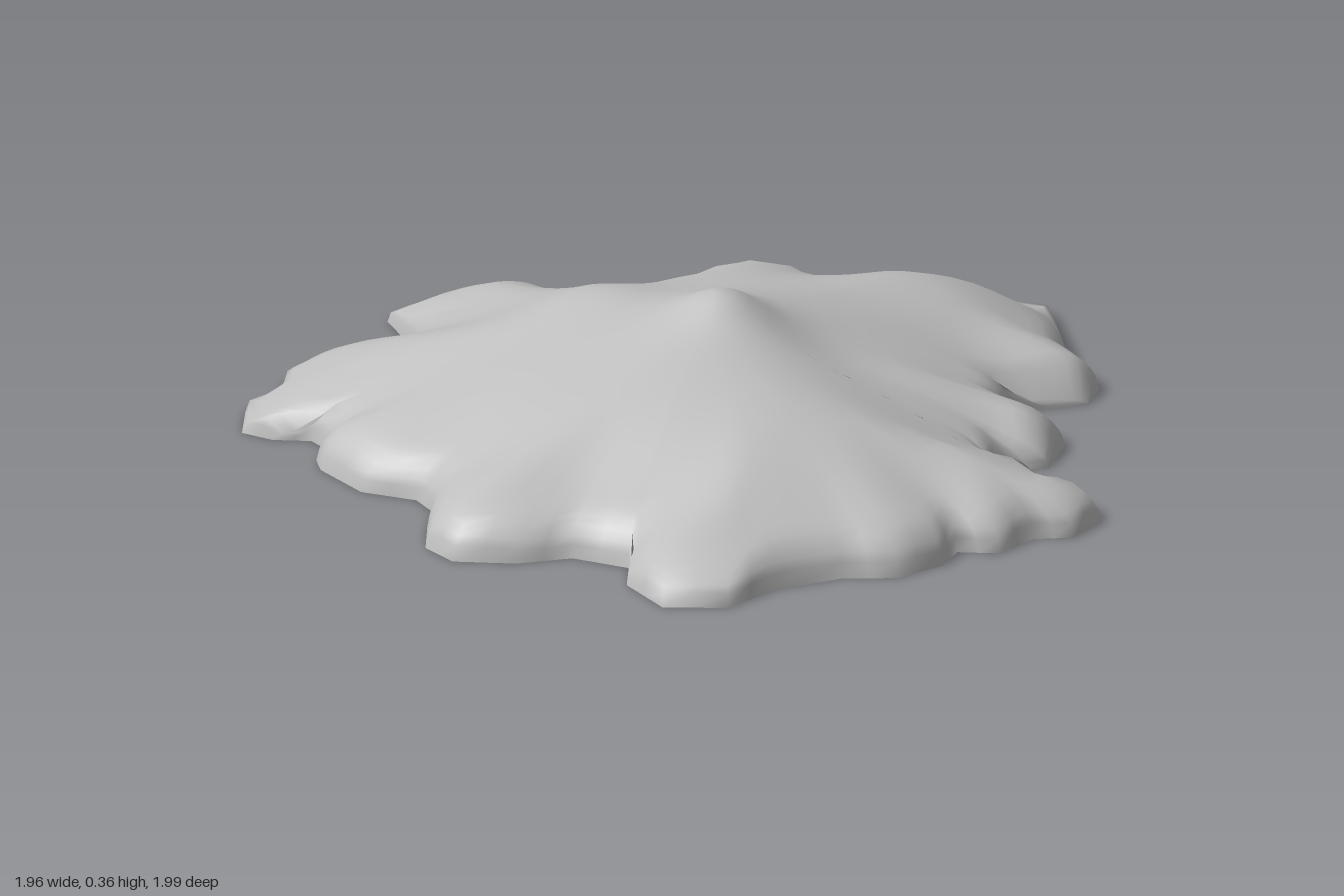
import * as THREE from 'three';

// Ragged footprint, as x, z pairs running clockwise seen from above
const OUTLINE = [
  -0.44, -0.96, -0.33, -1.0, -0.22, -0.95, -0.12, -0.92, -0.05, -0.8, 0.03, -0.79, 0.19, -0.82, 0.32, -0.89,
  0.49, -0.83, 0.52, -0.72, 0.57, -0.63, 0.7, -0.6, 0.75, -0.55, 0.89, -0.57, 0.98, -0.5, 0.93, -0.25,
  0.9, -0.15, 0.93, -0.03, 0.88, 0.05, 0.7, 0.045, 0.66, 0.12, 0.74, 0.28, 0.66, 0.4, 0.56, 0.38,
  0.52, 0.46, 0.59, 0.54, 0.58, 0.61, 0.65, 0.67, 0.66, 0.76, 0.57, 0.83, 0.48, 0.81, 0.38, 0.87,
  0.29, 0.83, 0.23, 0.9, 0.11, 0.94, -0.01, 0.9, -0.18, 0.92, -0.31, 0.99, -0.45, 0.94, -0.48, 0.78,
  -0.44, 0.68, -0.54, 0.58, -0.67, 0.57, -0.8, 0.51, -0.83, 0.41, -0.78, 0.28, -0.74, 0.2, -0.75, 0.12,
  -0.85, 0.03, -0.89, -0.13, -0.88, -0.19, -0.83, -0.23, -0.85, -0.31, -0.93, -0.345, -0.98, -0.41, -0.93, -0.53,
  -0.83, -0.57, -0.79, -0.67, -0.69, -0.69, -0.52, -0.68, -0.44, -0.78,
];
const CORNERS = OUTLINE.length / 2;
const RINGS = [0.05, 0.1, 0.16, 0.24, 0.33, 0.42, 0.51, 0.6, 0.68, 0.75, 0.81, 0.86, 0.9, 0.935, 0.96, 0.98, 0.992, 1];

// Local humps added to the dome: x, z, height, radius
const HUMPS = [
  [0.03, 0, 0.065, 0.11], [-0.2, -0.27, 0.03, 0.14], [0.62, -0.35, 0.035, 0.2],
  [-0.25, 0.35, 0.015, 0.18], [0.28, 0.12, -0.02, 0.15], [-0.3, 0.08, -0.015, 0.14],
];

// Corner i of the footprint, wrapping round
function corner(i) {
  const k = 2 * (i % CORNERS);
  return [OUTLINE[k], OUTLINE[k + 1]];
}

// Softened distance from x, z to the rim
function rimDistance(x, z) {
  let sum = 0;
  for (let i = 0; i < CORNERS; i++) {
    const [ax, az] = corner(i), [bx, bz] = corner(i + 1);
    const ex = bx - ax, ez = bz - az;
    const u = THREE.MathUtils.clamp(((x - ax) * ex + (z - az) * ez) / (ex * ex + ez * ez), 0, 1);
    sum += Math.pow(Math.hypot(x - ax - u * ex, z - az - u * ez), -12);
  }
  return Math.pow(sum, -1 / 12);
}

// A rounded lip, then a slope up from the rim, capped by a broad dome with humps
function heightAt(x, z) {
  const d = rimDistance(x, z);
  const inset = Math.min(1, d / 0.07);
  const slope = 0.07 * Math.sqrt(1 - (1 - inset) ** 2) + 0.5 * d;
  if (slope < 1e-6) return 0;
  const dome = Math.max(0.03, 0.315 * (1 - Math.pow(Math.hypot(x, z) / 1.08, 2.3)));
  let h = Math.pow(Math.pow(slope, -8) + Math.pow(dome, -8), -1 / 8);
  for (const [hx, hz, rise, radius] of HUMPS) {
    h += inset * rise * Math.exp(-((x - hx) ** 2 + (z - hz) ** 2) / radius ** 2);
  }
  return h;
}

function moundGeometry() {
  // Rim points: each corner and the middle of each edge
  const rim = [];
  for (let i = 0; i < CORNERS; i++) {
    const [ax, az] = corner(i), [bx, bz] = corner(i + 1);
    rim.push([ax, az], [(ax + bx) / 2, (az + bz) / 2]);
  }
  const n = rim.length;
  const positions = [0, heightAt(0, 0), 0];
  const indices = [];
  // Rings soften toward a circle as they near the summit
  for (const t of RINGS) {
    for (const [rx, rz] of rim) {
      const reach = Math.hypot(rx, rz);
      const s = t * THREE.MathUtils.lerp(0.82, reach, t) / reach;
      positions.push(rx * s, t === 1 ? 0 : heightAt(rx * s, rz * s), rz * s);
    }
  }
  for (let j = 0; j < n; j++) {
    const next = (j + 1) % n;
    indices.push(0, 1 + next, 1 + j);
    for (let k = 0; k < RINGS.length - 1; k++) {
      const inner = 1 + k * n, outer = inner + n;
      indices.push(inner + j, inner + next, outer + next);
      indices.push(inner + j, outer + next, outer + j);
    }
  }
  const geometry = new THREE.BufferGeometry();
  geometry.setAttribute('position', new THREE.Float32BufferAttribute(positions, 3));
  geometry.setIndex(indices);
  geometry.computeVertexNormals();
  return geometry;
}

export function createModel() {
  const group = new THREE.Group();
  group.name = 'rockMound';
  const stone = new THREE.MeshStandardMaterial({ color: 0xc0c0c0, side: THREE.DoubleSide });
  stone.name = 'stoneGrey';

  // Open-bottomed rock shell
  const mound = new THREE.Mesh(moundGeometry(), stone);
  mound.name = 'moundShell';
  group.add(mound);
  return group;
}
